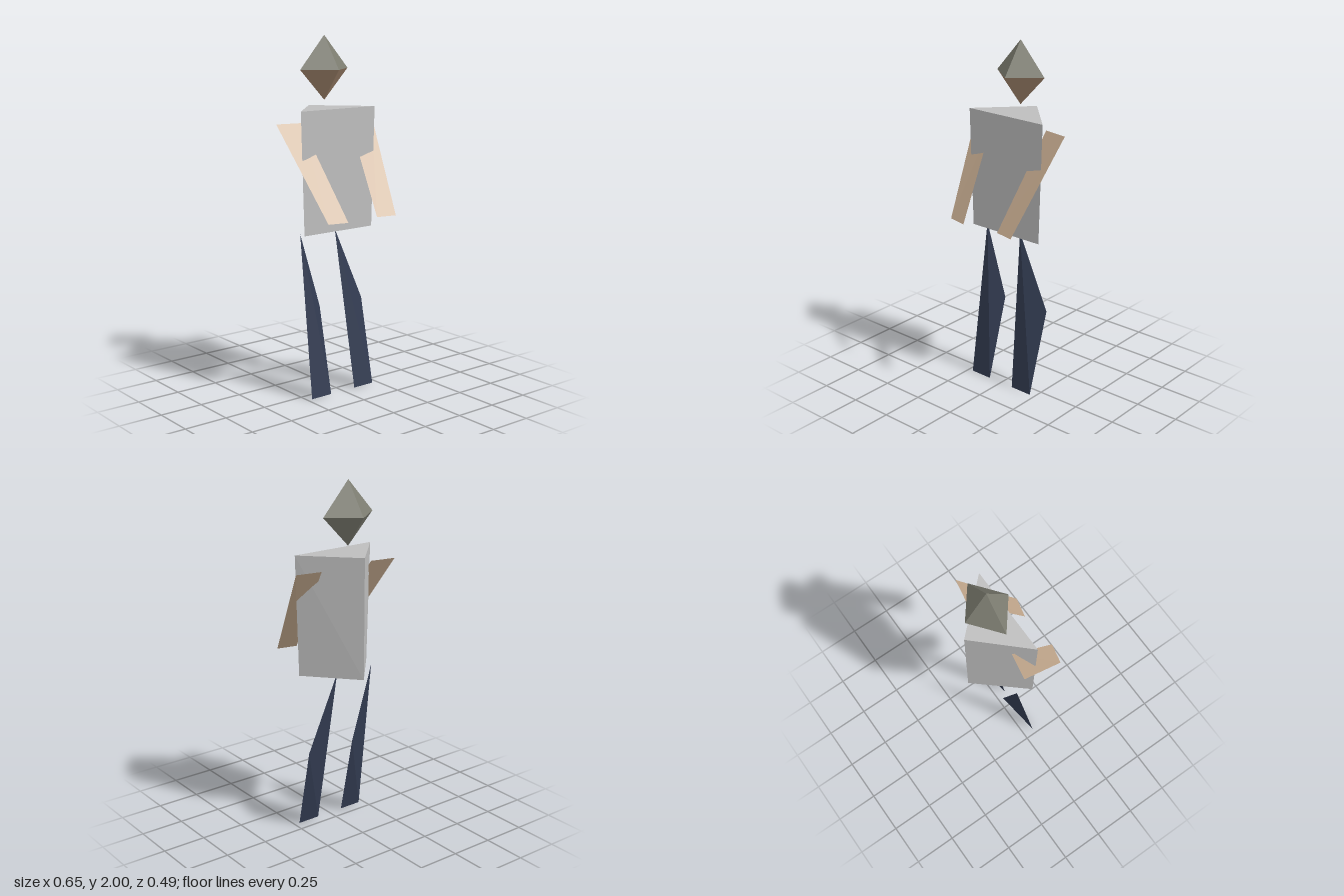
import * as THREE from 'three';
import { ConvexGeometry } from 'three/addons/geometries/ConvexGeometry.js';

const material = (name, color, extra = {}) => {
  const m = new THREE.MeshStandardMaterial({ color, flatShading: true, ...extra });
  m.name = name;
  return m;
};

// Flat-faced geometry from corner points, three per triangle
function facets(corners) {
  const g = new THREE.BufferGeometry();
  g.setAttribute('position', new THREE.Float32BufferAttribute(corners.flat(), 3));
  g.computeVertexNormals();
  return g;
}

// Closed convex solid around a few corner points
const solid = (points) => new ConvexGeometry(points.map((p) => new THREE.Vector3(...p)));

export function createModel() {
  const model = new THREE.Group();
  model.name = 'figure';
  const shirt = material('grey shirt', 0xbebebe);
  const skin = material('arm skin', 0xc6ab8f, { side: THREE.DoubleSide });
  const faceSkin = material('face skin', 0xa5886f);
  const hair = material('olive grey hair', 0x7e7e72);
  const denim = material('dark blue trousers', 0x333c52);

  const add = (name, geometry, mat) => {
    const mesh = new THREE.Mesh(geometry, mat);
    mesh.name = name;
    model.add(mesh);
  };

  // Head: octahedron whose two lower front facets are the face
  const top = [0, 2, -0.105], chin = [0, 1.645, -0.105];
  const ring = [[0, 1.815, 0.025], [0.165, 1.815, -0.105], [0, 1.815, -0.235], [-0.165, 1.815, -0.105]];
  const hairCorners = [], faceCorners = [];
  ring.forEach((a, i) => {
    const b = ring[(i + 1) % 4];
    hairCorners.push(top, a, b);
    (i === 0 || i === 3 ? faceCorners : hairCorners).push(chin, b, a);
  });
  add('hair', facets(hairCorners), hair);
  add('face', facets(faceCorners), faceSkin);

  // Torso: triangular prism, slightly narrower at the waist
  const section = (y, half) => [[-half, y, 0.023], [half, y, 0.023], [0, y, -0.248]];
  add('torso', solid([...section(1.605, 0.257), ...section(0.925, 0.237)]), shirt);

  // Arms: single flat strips reaching forward, both twisted the same way
  const arm = (name, inX, outX, lowIn, lowOut) => {
    const a = [inX, 1.53, -0.108], b = [outX, 1.53, -0.081];
    const c = [lowOut, 1.02, 0.246], d = [lowIn, 1.02, 0.221];
    add(name, facets([d, c, b, d, b, a]), skin);
  };
  arm('leftArm', 0.178, 0.325, 0.111, 0.226);
  arm('rightArm', -0.325, -0.179, -0.226, -0.111);

  // Legs: tetrahedra from hip point and knee to a foot edge
  const leg = (name, hipX, kneeX, footX) => add(name, solid([
    [hipX, 0.92, -0.06], [kneeX, 0.487, -0.06],
    [footX, 0, 0.064], [footX + 0.135, 0, 0.064],
  ]), denim);
  leg('leftLeg', 0.038, 0.234, 0.083);
  leg('rightLeg', -0.205, -0.071, -0.221);

  return model;
}
